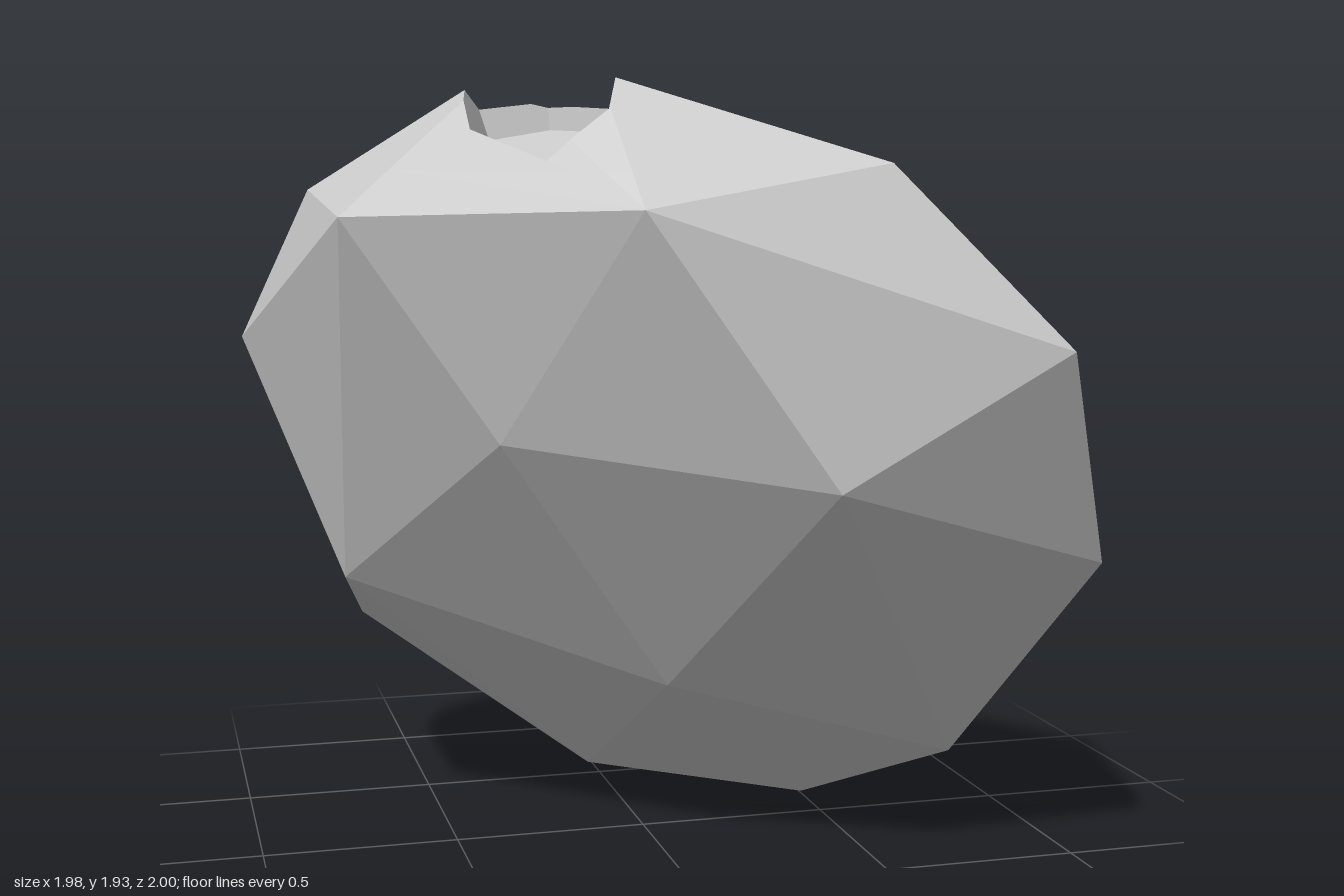
import * as THREE from 'three';
import { ConvexGeometry } from 'three/addons/geometries/ConvexGeometry.js';

const V = (p) => new THREE.Vector3(...p);

// Corner points of the faceted rock
const corners = [
  // front
  [-0.82, 1.62, 0.40], [-0.23, 1.64, 0.90], [-0.47, 1.10, 0.50], [0.21, 1.02, 0.92],
  [0.72, 1.33, 1.00], [0.34, 1.74, 0.86], [0.94, 0.80, 0.73], [-0.01, 0.45, 0.28],
  // top
  [-0.26, 1.94, 0.60], [-0.46, 1.95, 0.44], [-0.84, 1.68, -0.10], [-0.23, 1.83, 0.03],
  [0.50, 1.67, 0.40], [-0.50, 1.57, -0.46],
  // sides
  [-0.99, 1.29, -0.46], [-0.76, 0.68, -0.16], [0.94, 1.15, 0.33], [0.985, 0.34, -0.20],
  [0.735, 0.24, 0.32],
  // back
  [0.53, 0.99, -0.42], [-0.01, 1.06, -0.73], [0.87, 0.53, -0.36], [0.38, 0.34, -0.86],
  [-0.29, 0.44, -1.00], [-0.48, 0.90, -0.945], [-0.64, 0.44, -0.84],
  // underside
  [0.49, 0.015, -0.13], [0.36, 0, -0.67], [-0.06, 0.065, -0.39],
].map(V);

// Crater rims with their depth
const craters = [
  { name: 'upperCrater', depth: 0.09, rim: [[-0.03, 1.71, 0.03], [0.11, 1.51, -0.10],
    [0.405, 1.34, -0.07], [0.705, 1.27, 0.155], [0.44, 1.53, 0.22], [0.16, 1.715, 0.19]] },
  { name: 'sideCrater', depth: 0.08, rim: [[0.93, 1.03, 0.10], [0.69, 1.00, -0.21],
    [0.86, 0.68, -0.20], [0.95, 0.59, 0.23]] },
  { name: 'backCrater', depth: 0.08, rim: [[0.37, 0.83, -0.61], [0.135, 0.995, -0.665],
    [-0.10, 0.94, -0.80], [-0.165, 0.69, -0.90], [0.075, 0.53, -0.88], [0.295, 0.615, -0.75]] },
  { name: 'broadCrater', depth: 0.06, rim: [[-0.77, 1.45, -0.40], [-0.675, 1.22, -0.64],
    [-0.38, 1.37, -0.60], [-0.20, 1.545, -0.36], [-0.55, 1.63, -0.285]] },
  { name: 'topCrater', depth: 0.09, rim: [[-0.47, 1.90, 0.23], [-0.29, 1.89, 0.20],
    [-0.155, 1.91, 0.37], [-0.26, 1.87, 0.675], [-0.40, 1.75, 0.70], [-0.54, 1.86, 0.50]] },
];
const floorScale = 0.87;

// Part of a flat polygon on the side of the plane given by sign
function clip(poly, plane, sign) {
  const out = [];
  poly.forEach((a, i) => {
    const b = poly[(i + 1) % poly.length];
    const da = sign * plane.distanceToPoint(a), db = sign * plane.distanceToPoint(b);
    if (da >= 0) out.push(a);
    if (da * db < 0) out.push(a.clone().lerp(b, da / (da - db)));
  });
  return out.length > 2 ? out : [];
}

// Fan triangles from a list of convex polygons
function toMesh(polys, material, name) {
  const pos = [];
  for (const p of polys)
    for (let i = 1; i < p.length - 1; i++)
      for (const v of [p[0], p[i], p[i + 1]]) pos.push(v.x, v.y, v.z);
  const geo = new THREE.BufferGeometry();
  geo.setAttribute('position', new THREE.Float32BufferAttribute(pos, 3));
  geo.computeVertexNormals();
  const mesh = new THREE.Mesh(geo, material);
  mesh.name = name;
  return mesh;
}

// Tapered cutter: side planes face outward, floor plane faces up out of the crater
function makeCutter({ rim, depth }, middle) {
  const pts = rim.map(V);
  const center = new THREE.Vector3();
  pts.forEach((p) => center.addScaledVector(p, 1 / pts.length));
  const normal = new THREE.Vector3();
  pts.forEach((p, i) => normal.add(p.clone().sub(center)
    .cross(pts[(i + 1) % pts.length].clone().sub(center))));
  normal.normalize();
  if (normal.dot(center.clone().sub(middle)) < 0) {
    normal.negate();
    pts.reverse();
  }
  const rimPlane = new THREE.Plane().setFromNormalAndCoplanarPoint(normal, center);
  const outline = pts.map((p) => rimPlane.projectPoint(p, new THREE.Vector3()));
  const floor = outline.map((p) => center.clone().lerp(p, floorScale)
    .addScaledVector(normal, -depth));
  const top = floor.map((p, i) => p.clone().lerp(outline[i], 4));
  const floorPlane = new THREE.Plane().setFromNormalAndCoplanarPoint(normal, floor[0]);
  const walls = floor.map((a, i) => {
    const j = (i + 1) % floor.length;
    return [floor[j], a, top[i], top[j]];
  });
  const sides = walls.map(([b, a, t]) => new THREE.Plane().setFromCoplanarPoints(a, b, t));
  return { floorPlane, sides, surfaces: [floor, ...walls] };
}

export function createModel() {
  const group = new THREE.Group();
  group.name = 'asteroid';
  const stone = new THREE.MeshStandardMaterial({ color: 0xcccccc });
  stone.name = 'grey stone';

  // Faceted shell
  const hull = new ConvexGeometry(corners).getAttribute('position');
  let shell = [];
  const planes = [];
  for (let i = 0; i < hull.count; i += 3) {
    const tri = [0, 1, 2].map((k) => new THREE.Vector3().fromBufferAttribute(hull, i + k));
    shell.push(tri);
    planes.push(new THREE.Plane().setFromCoplanarPoints(...tri));
  }

  const middle = new THREE.Vector3(0, 0.97, 0);
  for (const crater of craters) {
    const { floorPlane, sides, surfaces } = makeCutter(crater, middle);

    // Open the shell over the crater
    const kept = [];
    for (const face of shell) {
      let rest = face;
      const pieces = [];
      const cut = (plane, keepSign) => {
        if (!rest.length) return;
        const piece = clip(rest, plane, keepSign);
        if (piece.length) pieces.push(piece);
        rest = clip(rest, plane, -keepSign);
      };
      cut(floorPlane, -1);
      sides.forEach((s) => cut(s, 1));
      kept.push(...(rest.length ? pieces : [face]));
    }
    shell = kept;

    // Floor and walls, trimmed to the inside of the rock
    const lining = surfaces.map((poly) =>
      planes.reduce((p, plane) => (p.length ? clip(p, plane, -1) : p), poly))
      .filter((p) => p.length);
    group.add(toMesh(lining, stone, crater.name));
  }
  group.add(toMesh(shell, stone, 'rockBody'));
  return group;
}
